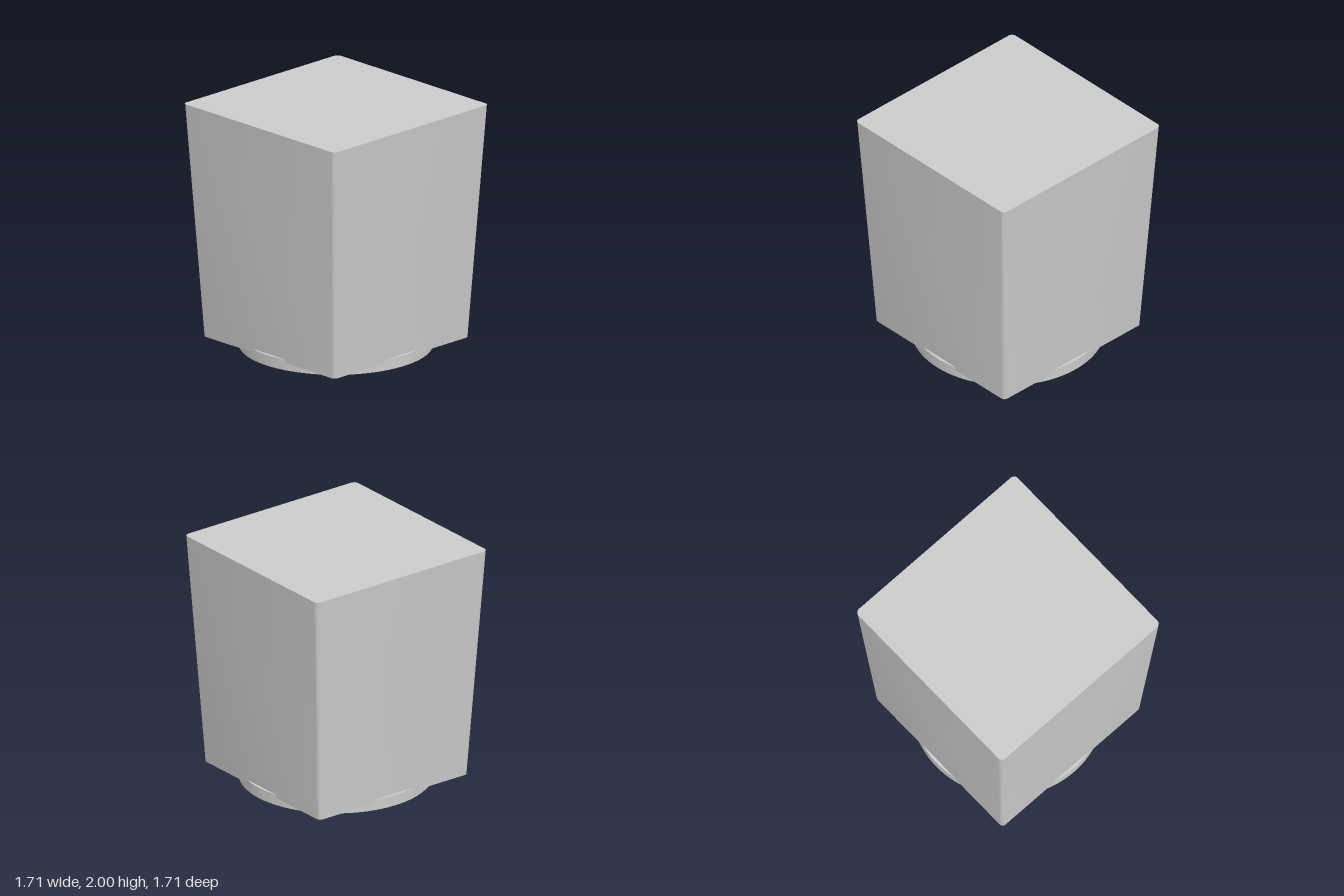
import * as THREE from 'three';
import { toCreasedNormals } from 'three/addons/utils/BufferGeometryUtils.js';

const BOTTOM = 0.06, TOP = 2;
const HALF_BOTTOM = 0.745, HALF_TOP = 0.855;
const RING_OUTER = 0.77, RING_INNER = 0.72, RING_HEIGHT = 0.09;

function roundedSquare(h, r) {
  const s = new THREE.Shape();
  s.moveTo(h, -h + r);
  s.absarc(h - r, h - r, r, 0, Math.PI / 2);
  s.absarc(-h + r, h - r, r, Math.PI / 2, Math.PI);
  s.absarc(-h + r, -h + r, r, Math.PI, Math.PI * 1.5);
  s.absarc(h - r, -h + r, r, Math.PI * 1.5, Math.PI * 2);
  return s;
}

// Rounded square block that narrows towards its bottom
function taperedBody() {
  const geo = new THREE.ExtrudeGeometry(roundedSquare(HALF_TOP, 0.04), {
    depth: TOP - BOTTOM, bevelEnabled: false, curveSegments: 8,
  });
  geo.rotateX(-Math.PI / 2).translate(0, BOTTOM, 0);
  const p = geo.attributes.position;
  for (let i = 0; i < p.count; i++) {
    const t = (p.getY(i) - BOTTOM) / (TOP - BOTTOM);
    const k = THREE.MathUtils.lerp(HALF_BOTTOM / HALF_TOP, 1, t);
    p.setX(i, p.getX(i) * k);
    p.setZ(i, p.getZ(i) * k);
  }
  return toCreasedNormals(geo, 0.6);
}

// Flat upright ring under the body
function ringGeometry() {
  const profile = [
    [RING_INNER, 0], [RING_OUTER, 0], [RING_OUTER, RING_HEIGHT],
    [RING_INNER, RING_HEIGHT], [RING_INNER, 0],
  ].map(([x, y]) => new THREE.Vector2(x, y));
  return toCreasedNormals(new THREE.LatheGeometry(profile, 96), 0.6);
}

export function createModel() {
  const model = new THREE.Group();
  const grey = new THREE.MeshStandardMaterial({ color: 0xcccccc });
  const add = (name, geo) => {
    const mesh = new THREE.Mesh(geo, grey);
    mesh.name = name;
    model.add(mesh);
    return mesh;
  };

  add('taperedBody', taperedBody());
  add('baseRing', ringGeometry());

  // Crossed bars spanning the ring along x and z
  const length = RING_INNER * 2 + 0.04;
  for (const [name, turn] of [['crossBarX', 0], ['crossBarZ', Math.PI / 2]]) {
    const bar = add(name, new THREE.BoxGeometry(length, BOTTOM, 0.08));
    bar.position.y = BOTTOM / 2;
    bar.rotation.y = turn;
  }
  return model;
}
